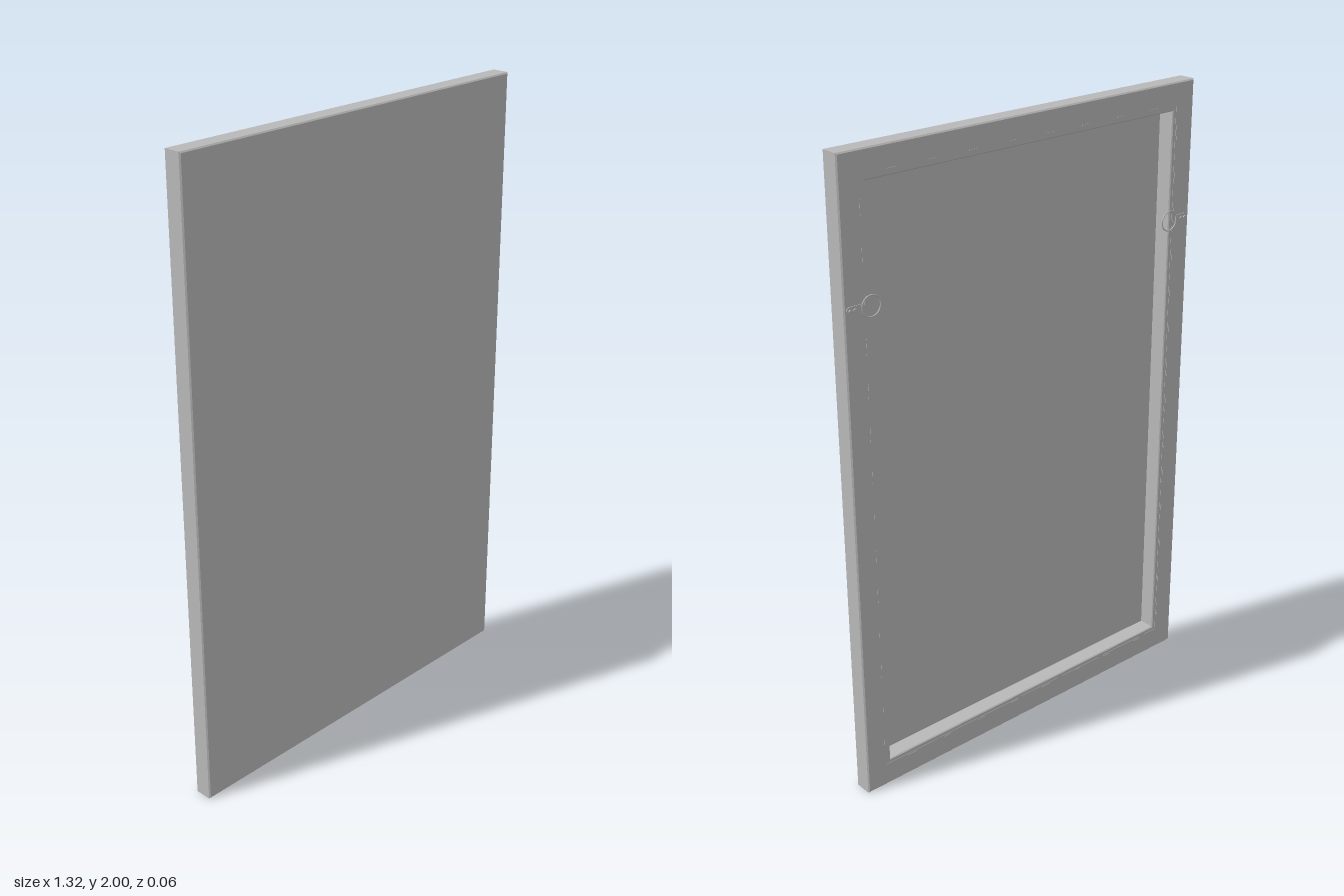
import * as THREE from 'three';

const W = 0.66, H = 1.0;            // half width and half height
const FRONT = 0.031, BACK = -0.03;  // faces of the panel
const BAR = 0.087;                  // width of the stretcher bars

// Sweeps a profile of [inset, z] points around the rectangle with mitred corners
function mitredRing(profile) {
  const corners = [[1, -1], [1, 1], [-1, 1], [-1, -1]];
  const at = ([sx, sy], [inset, z]) => [sx * (W - inset), H + sy * (H - inset), z];
  const pos = [];
  for (let c = 0; c < 4; c++) {
    const c0 = corners[c], c1 = corners[(c + 1) % 4];
    for (let i = 0; i < profile.length - 1; i++) {
      const a = at(c0, profile[i]), b = at(c0, profile[i + 1]);
      const d = at(c1, profile[i]), e = at(c1, profile[i + 1]);
      pos.push(...a, ...b, ...e, ...a, ...e, ...d);
    }
  }
  const g = new THREE.BufferGeometry();
  g.setAttribute('position', new THREE.Float32BufferAttribute(pos, 3));
  g.computeVertexNormals();
  return g;
}

export function createModel() {
  const model = new THREE.Group();
  model.name = 'stretchedCanvas';
  const grey = new THREE.MeshStandardMaterial({ color: 0xb8b8b8 });
  grey.name = 'canvas grey';

  const add = (name, geometry, x, y, z, parent = model) => {
    const m = new THREE.Mesh(geometry, grey);
    m.name = name;
    m.position.set(x, y, z);
    parent.add(m);
    return m;
  };

  // Canvas: front face, wrapped edges and back of the cloth
  add('canvasFront', new THREE.PlaneGeometry(2 * W - 0.008, 2 * H - 0.008), 0, H, FRONT);
  add('canvasWrap', mitredRing([
    [0.004, FRONT], [0, FRONT - 0.004], [0, BACK + 0.004], [0.004, BACK], [0.074, BACK],
    [0.074, BACK + 0.001],
  ]), 0, 0, 0);
  add('canvasBack', new THREE.PlaneGeometry(2 * (W - BAR), 2 * (H - BAR)), 0, H, FRONT - 0.006)
    .rotation.y = Math.PI;

  // Stretcher bars seen inside the folded cloth
  add('stretcherBars', mitredRing([
    [0.074, BACK + 0.001], [BAR - 0.003, BACK + 0.001], [BAR, BACK + 0.004], [BAR, FRONT - 0.006],
  ]), 0, 0, 0);

  // Staples along the folded edge
  const staples = new THREE.Group();
  staples.name = 'staples';
  model.add(staples);
  const across = new THREE.BoxGeometry(0.03, 0.003, 0.002);
  const upright = new THREE.BoxGeometry(0.003, 0.045, 0.002);
  for (const s of [-1, 1]) {
    for (let i = -3.5; i <= 3.5; i++)
      add('staple', across, i * 0.14, H + s * (H - 0.068), BACK, staples);
    for (let i = -6.5; i <= 6.5; i++)
      add('staple', upright, s * (W - 0.068), H + i * 0.13, BACK, staples);
  }

  // Hanging hardware: a screwed strap with a ring on each side bar
  const strapShape = new THREE.Shape();
  strapShape.moveTo(-0.025, -0.013);
  strapShape.lineTo(0.016, -0.013);
  strapShape.absarc(0.016, 0, 0.013, -Math.PI / 2, Math.PI / 2);
  strapShape.lineTo(-0.025, 0.013);
  const strapGeo = new THREE.ExtrudeGeometry(strapShape, { depth: 0.002, bevelEnabled: false, curveSegments: 8 });
  const screwGeo = new THREE.CylinderGeometry(0.005, 0.006, 0.002, 12).rotateX(-Math.PI / 2);
  const ringGeo = new THREE.TorusGeometry(0.031, 0.002, 8, 32);
  for (const s of [-1, 1]) {
    const hanger = new THREE.Group();
    hanger.name = s > 0 ? 'leftHanger' : 'rightHanger';
    hanger.position.set(s * 0.625, 1.57, BACK);
    if (s < 0) hanger.rotation.z = Math.PI;
    add('strap', strapGeo, 0, 0, -0.002, hanger);
    for (const x of [0, 0.016]) add('screw', screwGeo, x, 0, -0.003, hanger);
    add('ring', ringGeo, -0.053, 0, -0.002, hanger);
    model.add(hanger);
  }
  return model;
}
